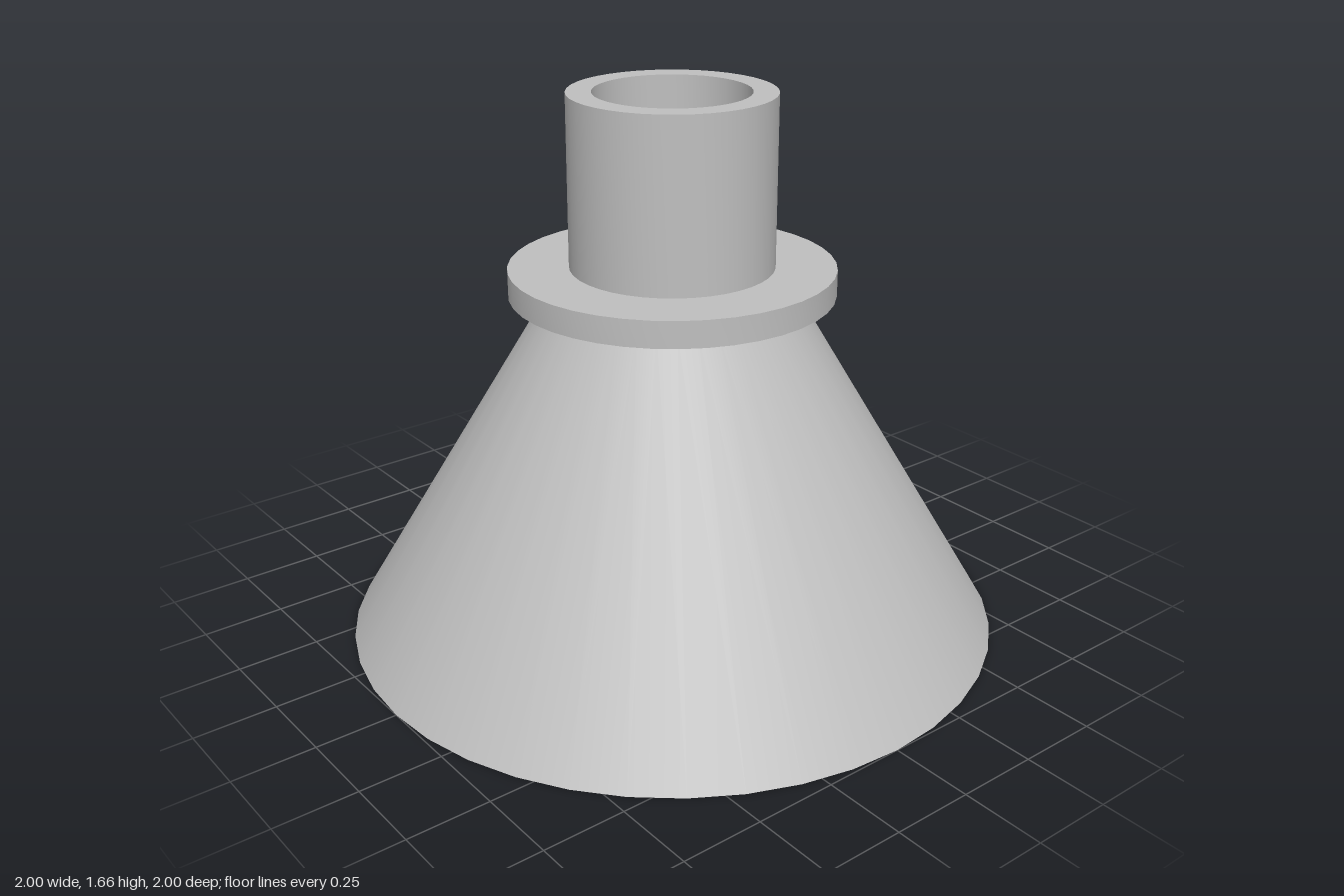
import * as THREE from 'three';
import { toCreasedNormals } from 'three/addons/utils/BufferGeometryUtils.js';

const SIDES = 40;

export function createModel() {
  const model = new THREE.Group();
  model.name = 'funnel';
  const grey = new THREE.MeshStandardMaterial({ color: 0xbfbfbf });
  grey.name = 'plain grey';

  // Hollow ring: outer wall from bottom to top, then inner wall back down
  function ring(name, y0, y1, outer0, outer1, inner0, inner1) {
    const profile = [
      [outer0, y0], [outer1, y1], [inner1, y1], [inner0, y0], [outer0, y0],
    ].map(([r, y]) => new THREE.Vector2(r, y));
    const geometry = toCreasedNormals(new THREE.LatheGeometry(profile, SIDES), Math.PI / 6);
    const mesh = new THREE.Mesh(geometry, grey);
    mesh.name = name;
    model.add(mesh);
  }

  // Flared shell, open at the bottom
  ring('coneShell', 0, 1.065, 1, 0.365, 0.927, 0.29);
  // Flat collar on top of the shell
  ring('flange', 1.065, 1.145, 0.485, 0.485, 0.23, 0.23);
  // Straight open neck
  ring('neckTube', 1.145, 1.66, 0.304, 0.304, 0.23, 0.23);

  return model;
}
